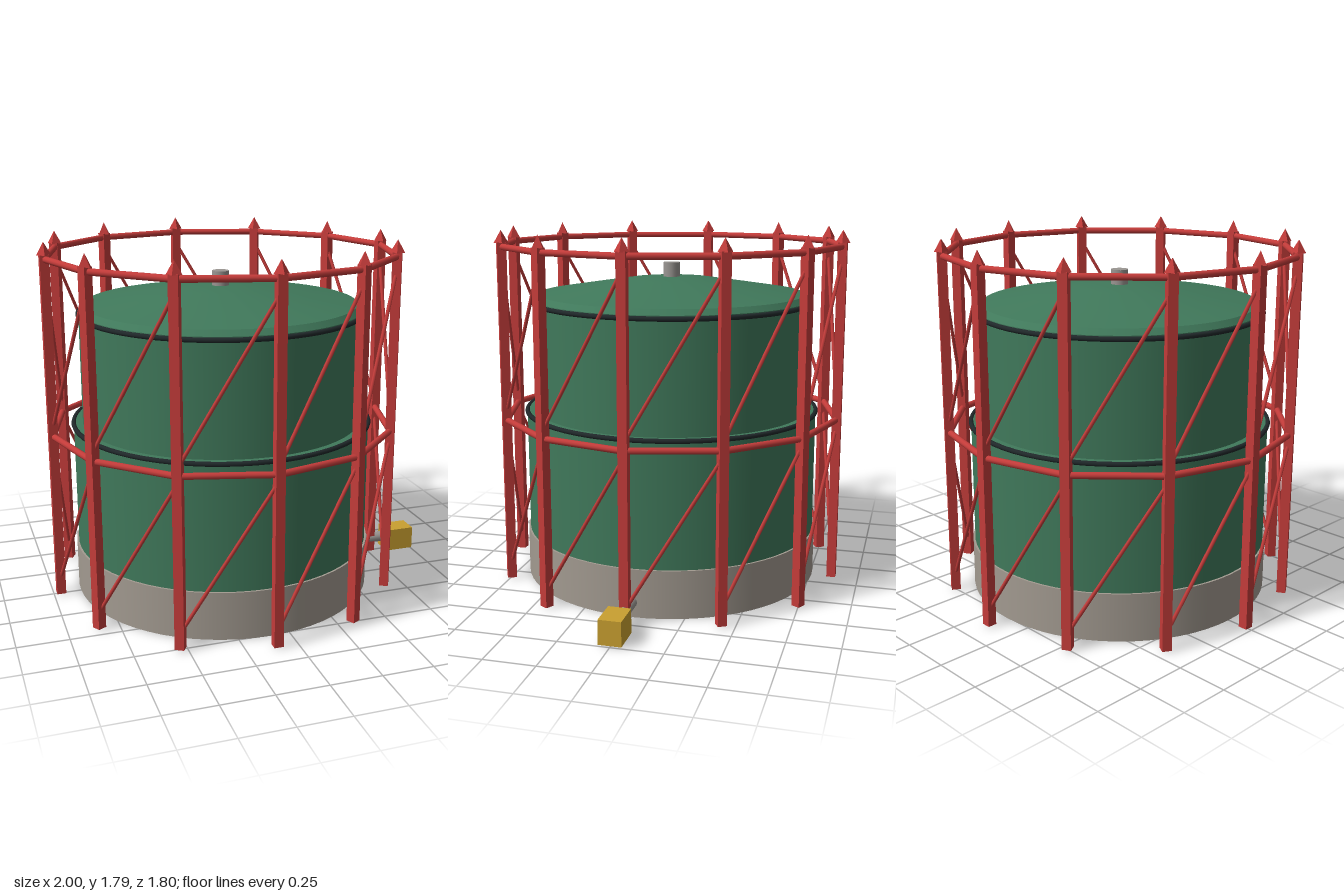
import * as THREE from 'three';

const mat = (name, color, side = THREE.FrontSide) => {
  const m = new THREE.MeshStandardMaterial({ color, side });
  m.name = name;
  return m;
};

export function createModel() {
  const green = mat('tankGreen', 0x40795b, THREE.DoubleSide);
  const red = mat('frameRed', 0xc43c3a);
  const stone = mat('baseStone', 0xa29a90);
  const metal = mat('pipeGrey', 0x9a9692);
  const black = mat('sealBlack', 0x20282a);
  const yellow = mat('valveYellow', 0xc9a030);

  const model = new THREE.Group();
  model.name = 'gasHolder';
  const tower = new THREE.Group();
  tower.name = 'tower';
  tower.position.x = -0.1;
  model.add(tower);

  const add = (parent, name, geometry, material, x = 0, y = 0, z = 0) => {
    const mesh = new THREE.Mesh(geometry, material);
    mesh.name = name;
    mesh.position.set(x, y, z);
    parent.add(mesh);
    return mesh;
  };
  const drum = (name, r, y0, y1, material) =>
    add(tower, name, new THREE.CylinderGeometry(r, r, y1 - y0, 64), material, 0, (y0 + y1) / 2, 0);
  // Round bar between two points
  const bar = (name, a, b, r, sides) => {
    const mesh = add(tower, name, new THREE.CylinderGeometry(r, r, a.distanceTo(b), sides), red);
    mesh.position.copy(a).lerp(b, 0.5);
    mesh.quaternion.setFromUnitVectors(new THREE.Vector3(0, 1, 0), b.clone().sub(a).normalize());
  };

  // Base and telescoping tank lifts
  drum('base', 0.76, 0, 0.24, stone);
  drum('lowerLift', 0.75, 0.24, 0.87, green);
  drum('upperLift', 0.705, 0.87, 1.435, green);

  // Black seals round the lift tops
  for (const [r, y] of [[0.75, 0.865], [0.707, 1.42]]) {
    const seal = add(tower, 'seal', new THREE.TorusGeometry(r, 0.012, 8, 64), black, 0, y, 0);
    seal.rotation.x = Math.PI / 2;
  }

  // Bevelled rim and shallow crown
  const lathe = (pts) => new THREE.LatheGeometry(pts.map(([x, y]) => new THREE.Vector2(x, y)), 64);
  add(tower, 'rim', lathe([[0.705, 1.435], [0.68, 1.462]]), green);
  add(tower, 'crown', lathe([[0.68, 1.462], [0.45, 1.499], [0.22, 1.535], [0.1, 1.544], [0, 1.546]]), green);
  add(tower, 'vent', new THREE.CylinderGeometry(0.042, 0.042, 0.085, 20), metal, 0, 1.575, 0);

  // Guide frame: columns with finials, rails and one-way diagonal braces
  const count = 12, R = 0.863;
  const at = (i, y) => {
    const a = (i / count) * Math.PI * 2;
    return new THREE.Vector3(Math.cos(a) * R, y, -Math.sin(a) * R);
  };
  for (let i = 0; i < count; i++) {
    const column = new THREE.Group();
    column.name = 'column';
    column.position.copy(at(i, 0));
    column.rotation.y = (i / count) * Math.PI * 2;
    tower.add(column);
    add(column, 'post', new THREE.BoxGeometry(0.045, 1.727, 0.045), red, 0, 0.8685, 0);
    const cone = new THREE.ConeGeometry(0.036, 0.062, 4).toNonIndexed();
    cone.computeVertexNormals();
    add(column, 'finial', cone, red, 0, 1.76, 0);

    for (const y of [0.842, 1.71]) bar('rail', at(i, y), at(i + 1, y), 0.016, 10);
    bar('lowerBrace', at(i, 0.08), at(i + 1, 0.81), 0.009, 6);
    bar('upperBrace', at(i, 0.88), at(i + 1, 1.65), 0.009, 6);
  }

  // Outlet pipe and valve box
  const pipe = add(model, 'outletPipe', new THREE.CylinderGeometry(0.028, 0.028, 0.24, 16), metal, 0.74, 0.075, 0);
  pipe.rotation.z = Math.PI / 2;
  add(model, 'valveBox', new THREE.BoxGeometry(0.155, 0.12, 0.11), yellow, 0.9225, 0.067, 0);

  return model;
}
